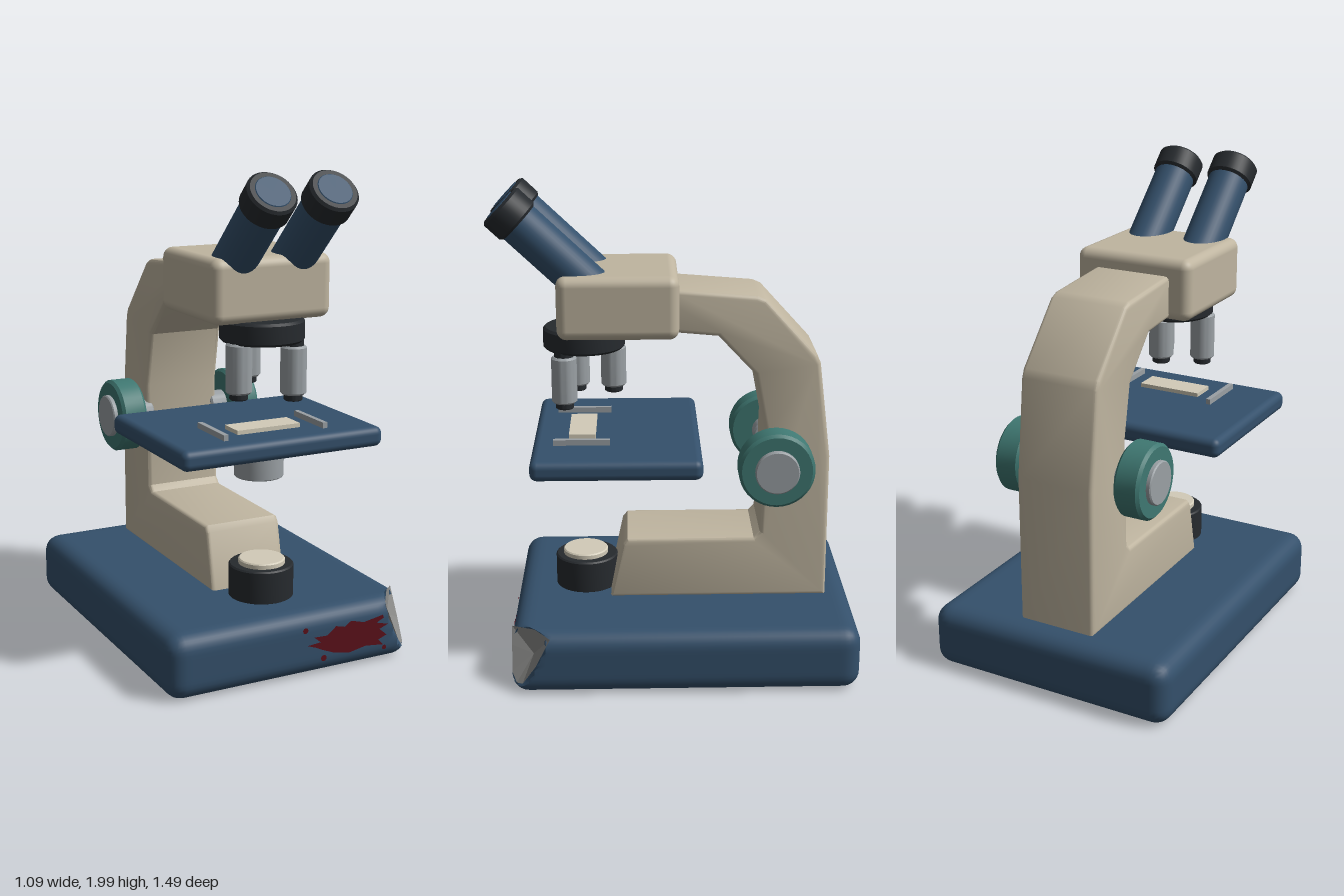
import * as THREE from 'three';
import { mergeVertices, toCreasedNormals } from 'three/addons/utils/BufferGeometryUtils.js';
import { RoundedBoxGeometry } from 'three/addons/geometries/RoundedBoxGeometry.js';

const mat = (color, extra = {}) => {
  const m = new THREE.MeshStandardMaterial(extra);
  m.color.set(color);
  return m;
};
const navy = mat(0x34506b), cream = mat(0xbfb5a0), teal = mat(0x3f7872);
const dark = mat(0x262a2e), metal = mat(0x9aa0a4), ivory = mat(0xd2cbb8);
const stone = mat(0x8a8a88, { flatShading: true, side: THREE.DoubleSide });
const red = mat(0x5a101a, { side: THREE.DoubleSide });

function add(parent, name, geometry, material, x = 0, y = 0, z = 0) {
  const mesh = new THREE.Mesh(geometry, material);
  mesh.name = name;
  mesh.position.set(x, y, z);
  parent.add(mesh);
  return mesh;
}

// Upright cylinder standing on its origin, with bevelled rims
function disc(r, h, b = 0.008) {
  const pts = [[0, 0], [r - b, 0], [r, b], [r, h - b], [r - b, h], [0, h]];
  const g = new THREE.LatheGeometry(pts.map(p => new THREE.Vector2(...p)), 36);
  return toCreasedNormals(g, 0.5);
}

const roundBox = (w, h, d, r) => new RoundedBoxGeometry(w, h, d, 4, r);

// Rounded slab whose front left top corner is broken away along a plane
function baseGeometry() {
  const W = 1.085, H = 0.265, D = 1.415, r = 0.07, cz = -0.0425;
  const box = new THREE.BoxGeometry(W, H, D, 48, 14, 60);
  box.deleteAttribute('normal');
  box.deleteAttribute('uv');
  const g = mergeVertices(box);
  const n = new THREE.Vector3(0.74, 0.3, 0.6), v = new THREE.Vector3();
  const inner = new THREE.Vector3(W / 2 - r, H / 2 - r, D / 2 - r), c = new THREE.Vector3();
  const pos = g.attributes.position;
  for (let i = 0; i < pos.count; i++) {
    v.fromBufferAttribute(pos, i);
    c.copy(v).clamp(inner.clone().negate(), inner);
    v.sub(c).setLength(r).add(c);
    v.y += H / 2;
    v.z += cz;
    const e = v.dot(n) - 0.777;
    if (e > 0) v.addScaledVector(n, -e - Math.min(0.8 * e, 0.06));
    pos.setXYZ(i, v.x, v.y, v.z);
  }
  return toCreasedNormals(g, 0.7);
}

// Faceted face of the broken corner: a fan around a sunken point
function chipGeometry() {
  const rim = [[0.41, 0.25, 0.665], [0.44, 0.18, 0.665], [0.48, 0.08, 0.665], [0.51, 0.045, 0.645],
    [0.53, 0.05, 0.62], [0.541, 0.13, 0.565], [0.541, 0.25, 0.505], [0.48, 0.266, 0.57]];
  const verts = [];
  rim.forEach((p, i) => verts.push(...p, ...rim[(i + 1) % rim.length], 0.48, 0.16, 0.575));
  const g = new THREE.BufferGeometry();
  g.setAttribute('position', new THREE.Float32BufferAttribute(verts, 3));
  g.computeVertexNormals();
  return g;
}

// C-shaped arm and foot: side profile (z, y) extruded across x
function armGeometry() {
  const profile = [[0.267, 0.26], [0.215, 0.5], [0.195, 0.525], [-0.335, 0.525], [-0.36, 0.55], [-0.375, 1.0],
    [-0.33, 1.235], [-0.18, 1.395], [0.1, 1.42], [0.1, 1.595], [-0.02, 1.585], [-0.335, 1.56],
    [-0.37, 1.545], [-0.58, 1.315], [-0.595, 1.28], [-0.643, 0.88], [-0.643, 0.26]];
  const shape = new THREE.Shape(profile.map(p => new THREE.Vector2(...p)));
  const b = 0.018, width = 0.34;
  const g = new THREE.ExtrudeGeometry(shape, {
    depth: width - 2 * b, bevelThickness: b, bevelSize: b, bevelOffset: -b, bevelSegments: 3,
  });
  g.translate(0, 0, -(width / 2 - b));
  g.rotateY(-Math.PI / 2);
  return toCreasedNormals(g, 0.55);
}

export function createModel() {
  const model = new THREE.Group();
  model.name = 'microscope';

  // Base with broken corner and stain
  add(model, 'base', baseGeometry(), navy);
  add(model, 'brokenCorner', chipGeometry(), stone);
  const stain = [[0.05, 0.135], [0.11, 0.14], [0.08, 0.165], [0.14, 0.163], [0.18, 0.195], [0.22, 0.185],
    [0.25, 0.205], [0.31, 0.188], [0.4, 0.204], [0.405, 0.19], [0.37, 0.175], [0.425, 0.16], [0.385, 0.145],
    [0.42, 0.115], [0.38, 0.1], [0.405, 0.075], [0.32, 0.085], [0.24, 0.07], [0.17, 0.085], [0.12, 0.105], [0.09, 0.12]];
  const stainShape = new THREE.Shape(stain.map(p => new THREE.Vector2(...p)));
  add(model, 'stain', new THREE.ShapeGeometry(stainShape), red, 0, 0, 0.668);
  for (const [x, y, r] of [[0.04, 0.2, 0.012], [0.125, 0.07, 0.013], [0.41, 0.062, 0.01]]) {
    add(model, 'stainDrop', new THREE.CircleGeometry(r, 12), red, x, y, 0.668);
  }

  // Arm and head
  add(model, 'arm', armGeometry(), cream);
  add(model, 'head', roundBox(0.52, 0.255, 0.485, 0.04), cream, 0, 1.5275, 0.2225);

  // Eyepieces, tilted towards the viewer
  for (const side of [-1, 1]) {
    const eyepiece = new THREE.Group();
    eyepiece.name = side > 0 ? 'leftEyepiece' : 'rightEyepiece';
    eyepiece.position.set(side * 0.13, 1.5, 0.235);
    eyepiece.rotation.x = Math.atan2(0.445, 0.42);
    add(eyepiece, 'tube', new THREE.CylinderGeometry(0.087, 0.087, 0.55, 36), navy, 0, 0.275, 0);
    add(eyepiece, 'eyecup', disc(0.099, 0.1, 0.01), dark, 0, 0.512, 0);
    add(eyepiece, 'lens', disc(0.07, 0.02, 0.003), navy, 0, 0.595, 0);
    model.add(eyepiece);
  }

  // Nosepiece with three objectives
  add(model, 'nosepiece', disc(0.168, 0.09, 0.01), dark, 0, 1.315, 0.365);
  for (const [x, z, bottom, top] of [[0.098, 0.445, 1.105, 1.3], [0, 0.245, 1.15, 1.32], [-0.12, 0.4, 1.12, 1.32]]) {
    const objective = new THREE.Group();
    objective.name = 'objective';
    objective.position.set(x, 0, z);
    add(objective, 'barrel', disc(0.052, top - bottom), metal, 0, bottom, 0);
    add(objective, 'neck', disc(0.04, 1.33 - top + 0.01, 0.002), dark, 0, top - 0.01, 0);
    add(objective, 'tip', disc(0.037, 0.04, 0.004), dark, 0, bottom - 0.025, 0);
    model.add(objective);
  }

  // Stage, slide, clips and condenser
  add(model, 'stage', roundBox(0.886, 0.082, 0.685, 0.03), navy, 0, 0.92, 0.2325);
  add(model, 'slide', new THREE.BoxGeometry(0.28, 0.02, 0.11), ivory, 0, 0.968, 0.375);
  for (const side of [-1, 1]) {
    add(model, 'stageClip', new THREE.BoxGeometry(0.02, 0.025, 0.23), metal, side * 0.22, 0.972, 0.375);
  }
  add(model, 'condenser', disc(0.1, 0.14, 0.004), metal, 0, 0.76, 0.346);

  // Lamp on the base
  add(model, 'lampHousing', disc(0.132, 0.14, 0.006), dark, 0, 0.26, 0.37);
  add(model, 'lampLens', disc(0.095, 0.03, 0.005), ivory, 0, 0.392, 0.375);

  // Focus knobs, mirrored on both sides of the arm
  for (const side of [-1, 1]) {
    const knob = new THREE.Group();
    knob.name = side > 0 ? 'leftFocusKnob' : 'rightFocusKnob';
    knob.position.set(0, 0.875, -0.412);
    knob.rotation.z = -side * Math.PI / 2;
    add(knob, 'shaft', disc(0.06, 0.1), metal, 0, 0.14, 0);
    add(knob, 'wheel', disc(0.155, 0.112, 0.012), teal, 0, 0.215, 0);
    add(knob, 'hub', disc(0.09, 0.04, 0.005), metal, 0, 0.307, 0);
    model.add(knob);
  }
  return model;
}
